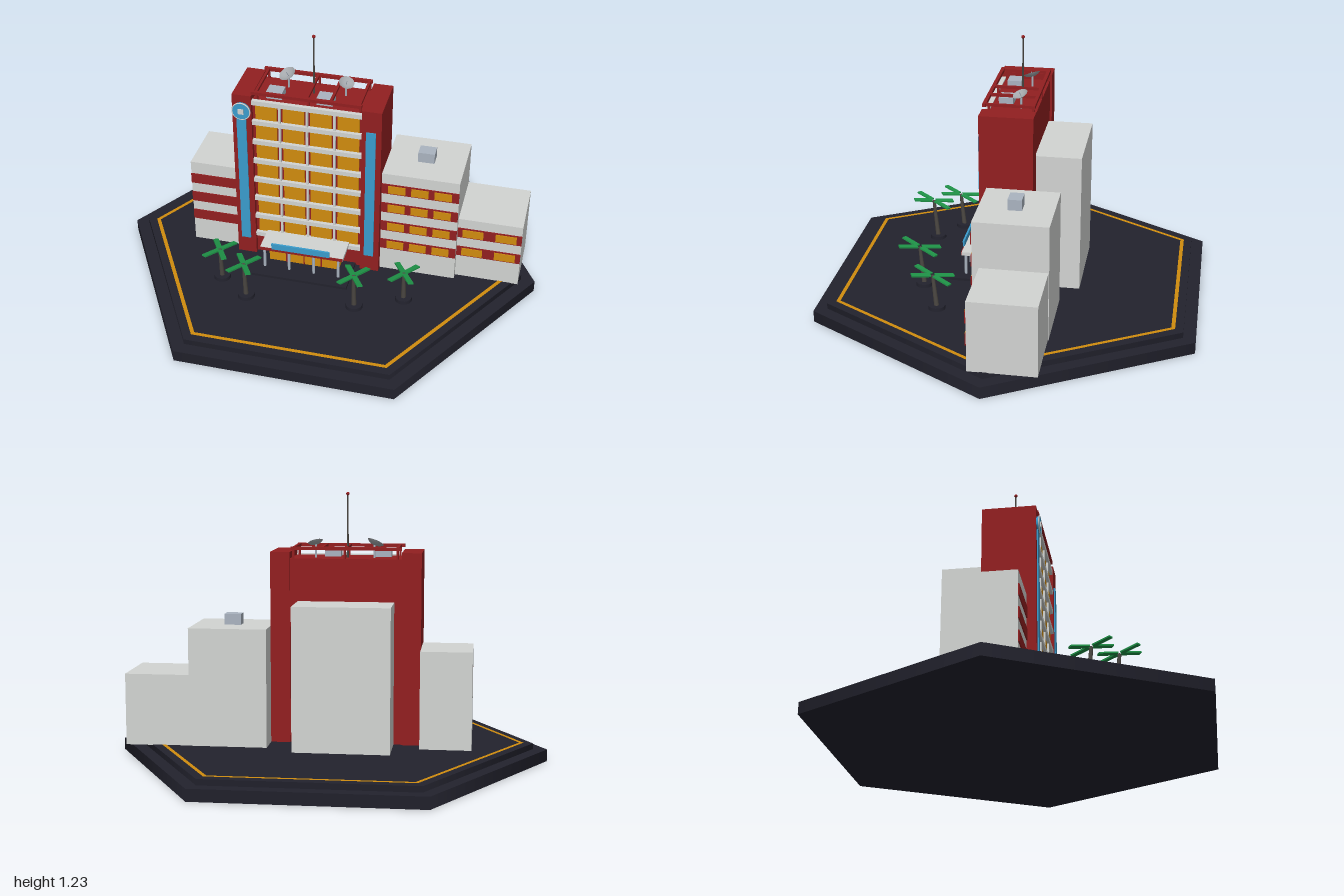
import * as THREE from 'three';

const mat = (name, color, extra = {}) => {
  const m = new THREE.MeshStandardMaterial({ color, ...extra });
  m.name = name;
  return m;
};

export function createModel() {
  const dark = mat('dark paving', 0x22222d);
  const red = mat('red wall', 0x921f20);
  const white = mat('pale concrete', 0xd2d4d2);
  const amber = mat('amber glass', 0xd08c0e);
  const blue = mat('blue panel', 0x3a9ccd);
  const steel = mat('blue grey steel', 0xaab4c0);
  const dish = mat('dish grey', 0xa4a8ac, { side: THREE.DoubleSide });
  const green = mat('palm green', 0x1f9548);
  const trunkMat = mat('trunk grey', 0x4c4843);

  const root = new THREE.Group();
  const group = (name, parent = root) => {
    const g = new THREE.Group();
    g.name = name;
    parent.add(g);
    return g;
  };
  const add = (parent, name, geo, material, x = 0, y = 0, z = 0) => {
    const m = new THREE.Mesh(geo, material);
    m.name = name;
    m.position.set(x, y, z);
    parent.add(m);
    return m;
  };
  // Box given by its minimum and maximum on each axis
  const box = (parent, name, material, x0, x1, y0, y1, z0, z1) =>
    add(parent, name, new THREE.BoxGeometry(x1 - x0, y1 - y0, z1 - z0), material,
      (x0 + x1) / 2, (y0 + y1) / 2, (z0 + z1) / 2);

  // Hexagonal base in two tiers with a painted border line
  const base = group('base');
  const hex = (r, h) => new THREE.CylinderGeometry(r, r, h, 6).rotateY(Math.PI / 6);
  add(base, 'lowerTier', hex(1, 0.055), dark, 0, 0.0275);
  add(base, 'upperTier', hex(0.935, 0.028), dark, 0, 0.068);
  add(base, 'borderLine', new THREE.RingGeometry(0.872, 0.892, 6).rotateX(-Math.PI / 2), amber, 0, 0.084);

  // Tower: recessed core between two pylons
  const tower = group('tower');
  const G = 0.08;
  box(tower, 'core', red, -0.33, 0.18, G, 0.935, -0.1, 0.112);
  box(tower, 'leftPylon', red, -0.42, -0.33, G, 0.965, -0.11, 0.134);
  box(tower, 'rightPylon', red, 0.18, 0.27, G, 0.965, -0.11, 0.134);
  box(tower, 'pylonStripe', blue, -0.4, -0.355, 0.17, 0.87, 0.134, 0.14);
  box(tower, 'pylonStripe', blue, 0.2, 0.245, 0.17, 0.858, 0.134, 0.14);

  // Facade grid: windows, floor slabs and mullions
  const pitchX = 0.1275, pitchY = 0.105;
  for (let r = 0; r < 8; r++) {
    const y = 0.195 + r * pitchY;
    box(tower, 'floorSlab', white, -0.33, 0.18, y - 0.011, y + 0.011, 0.112, 0.132);
    if (r === 7) break;
    for (let c = 0; c < 4; c++) {
      const x = -0.33 + (c + 0.5) * pitchX;
      box(tower, 'towerWindow', amber, x - 0.05, x + 0.05, y + 0.0145, y + 0.0905, 0.112, 0.119);
    }
  }
  for (let c = 1; c < 4; c++) {
    const x = -0.33 + c * pitchX;
    box(tower, 'mullion', white, x - 0.005, x + 0.005, 0.195, 0.93, 0.112, 0.127);
  }

  // Round panel on the left pylon
  const panel = group('roundPanel', tower);
  panel.position.set(-0.375, 0.887, 0.134);
  const disc = (r, h) => new THREE.CylinderGeometry(r, r, h, 32).rotateX(Math.PI / 2);
  add(panel, 'disc', disc(0.041, 0.014), blue, 0, 0, 0.007);
  add(panel, 'rim', new THREE.TorusGeometry(0.042, 0.003, 8, 32), white, 0, 0, 0.012);
  box(panel, 'centrePlate', white, -0.013, 0.013, -0.013, 0.013, 0.014, 0.018);

  // Rooftop frame, machinery, dishes and mast
  const roof = group('roofFittings');
  for (const z of [0.125, -0.095]) {
    box(roof, 'longBeam', red, -0.33, 0.177, 0.974, 0.989, z - 0.008, z + 0.008);
    for (const x of [-0.31, -0.07, 0.165])
      box(roof, 'framePost', red, x - 0.005, x + 0.005, 0.93, 0.976, Math.min(z, 0.105) - 0.005, Math.min(z, 0.105) + 0.005);
  }
  for (const x of [-0.31, -0.075, 0.035, 0.165])
    box(roof, 'crossBeam', red, x - 0.006, x + 0.006, 0.975, 0.988, -0.095, 0.125);
  for (const x of [-0.237, -0.003])
    box(roof, 'roofUnit', steel, x - 0.037, x + 0.037, 0.935, 0.968, 0.018, 0.084);
  const bowl = new THREE.LatheGeometry(
    [[0, 0], [0.015, 0.002], [0.028, 0.007], [0.04, 0.016]].map(p => new THREE.Vector2(...p)), 20);
  for (const [x, z, s, tilt] of [[-0.2, -0.035, 1, -0.4], [0.07, -0.025, 0.88, 0.3]]) {
    const d = group('satelliteDish', roof);
    d.position.set(x, 0.994, z);
    add(d, 'dishStand', new THREE.CylinderGeometry(0.005, 0.005, 0.06, 8), steel, 0, -0.03);
    const head = group('dishHead', d);
    head.rotation.set(0.35, 0, -tilt * 0.9);
    head.scale.setScalar(s);
    add(head, 'dishBowl', bowl, dish);
    add(head, 'dishFeed', new THREE.CylinderGeometry(0.002, 0.002, 0.025, 6), steel, 0, 0.0125);
  }
  add(roof, 'mast', new THREE.CylinderGeometry(0.003, 0.005, 0.29, 8), trunkMat, -0.075, 1.08, -0.01);
  add(roof, 'mastTip', new THREE.SphereGeometry(0.008, 12, 8), red, -0.075, 1.226, -0.01);

  // Side wings with red bands, some holding windows
  const wing = (name, x0, x1, top, z0, z1, floors, windows, w) => {
    const g = group(name);
    box(g, 'walls', white, x0, x1, G, top, z0, z1);
    for (let f = 0; f < floors; f++) {
      const y = 0.23 + f * pitchY;
      box(g, 'band', red, x0, x1, y - 0.026, y + 0.026, z1, z1 + 0.005);
      for (const x of windows)
        box(g, 'wingWindow', amber, x - w / 2, x + w / 2, y - 0.02, y + 0.02, z1 + 0.005, z1 + 0.009);
    }
    return g;
  };
  wing('rightWing', 0.27, 0.628, 0.625, -0.235, 0.1, 4, [0.342, 0.449, 0.556], 0.08);
  wing('farRightWing', 0.628, 0.925, 0.41, -0.232, 0.069, 2, [0.7, 0.853], 0.097);
  wing('leftWing', -0.655, -0.42, 0.53, -0.183, 0.09, 3, [], 0);
  box(root, 'rearBlock', white, -0.297, 0.145, G, 0.74, -0.312, -0.1);
  box(root, 'wingRoofUnit', steel, 0.41, 0.487, 0.625, 0.675, -0.095, -0.032);

  // Entrance with glass hall, canopy and posts
  const entrance = group('entrance');
  box(entrance, 'step', dark, -0.305, 0.155, G, 0.094, 0.112, 0.305);
  box(entrance, 'glassHall', amber, -0.25, 0.09, 0.094, 0.2, 0.112, 0.182);
  for (const x of [-0.165, -0.08, 0.005])
    box(entrance, 'doorFrame', red, x - 0.003, x + 0.003, 0.094, 0.2, 0.182, 0.185);
  box(entrance, 'canopy', white, -0.275, 0.125, 0.2, 0.217, 0.112, 0.25);
  box(entrance, 'canopyFascia', red, -0.275, 0.125, 0.201, 0.215, 0.25, 0.254);
  box(entrance, 'canopyPanel', blue, -0.218, 0.062, 0.215, 0.245, 0.248, 0.257);
  for (const x of [-0.258, -0.139, -0.019, 0.1])
    add(entrance, 'canopyPost', new THREE.CylinderGeometry(0.007, 0.007, 0.11, 10), steel, x, 0.147, 0.235);

  // Palms: planter, leaning trunk and four crossed fronds
  for (const [x, z, h] of [[-0.434, 0.35, 0.165], [-0.285, 0.455, 0.19], [0.217, 0.41, 0.185], [0.427, 0.305, 0.155]]) {
    const palm = group('palm');
    palm.position.set(x, G, z);
    add(palm, 'planter', new THREE.CylinderGeometry(0.038, 0.04, 0.018, 16), dark, 0, 0.009);
    const stem = group('stem', palm);
    stem.rotation.x = 0.09;
    add(stem, 'trunk', new THREE.CylinderGeometry(0.008, 0.012, h, 8), trunkMat, 0, h / 2 + 0.012);
    const crown = group('crown', stem);
    crown.position.y = h + 0.014;
    crown.rotation.x = -0.29;
    for (let i = 0; i < 4; i++) {
      const frond = group('frond', crown);
      frond.rotation.y = [0.5, -0.5, Math.PI + 0.5, Math.PI - 0.5][i];
      add(frond, 'leaf', new THREE.BoxGeometry(0.025, 0.007, 0.09), green, 0, 0, 0.056);
    }
  }
  return root;
}
